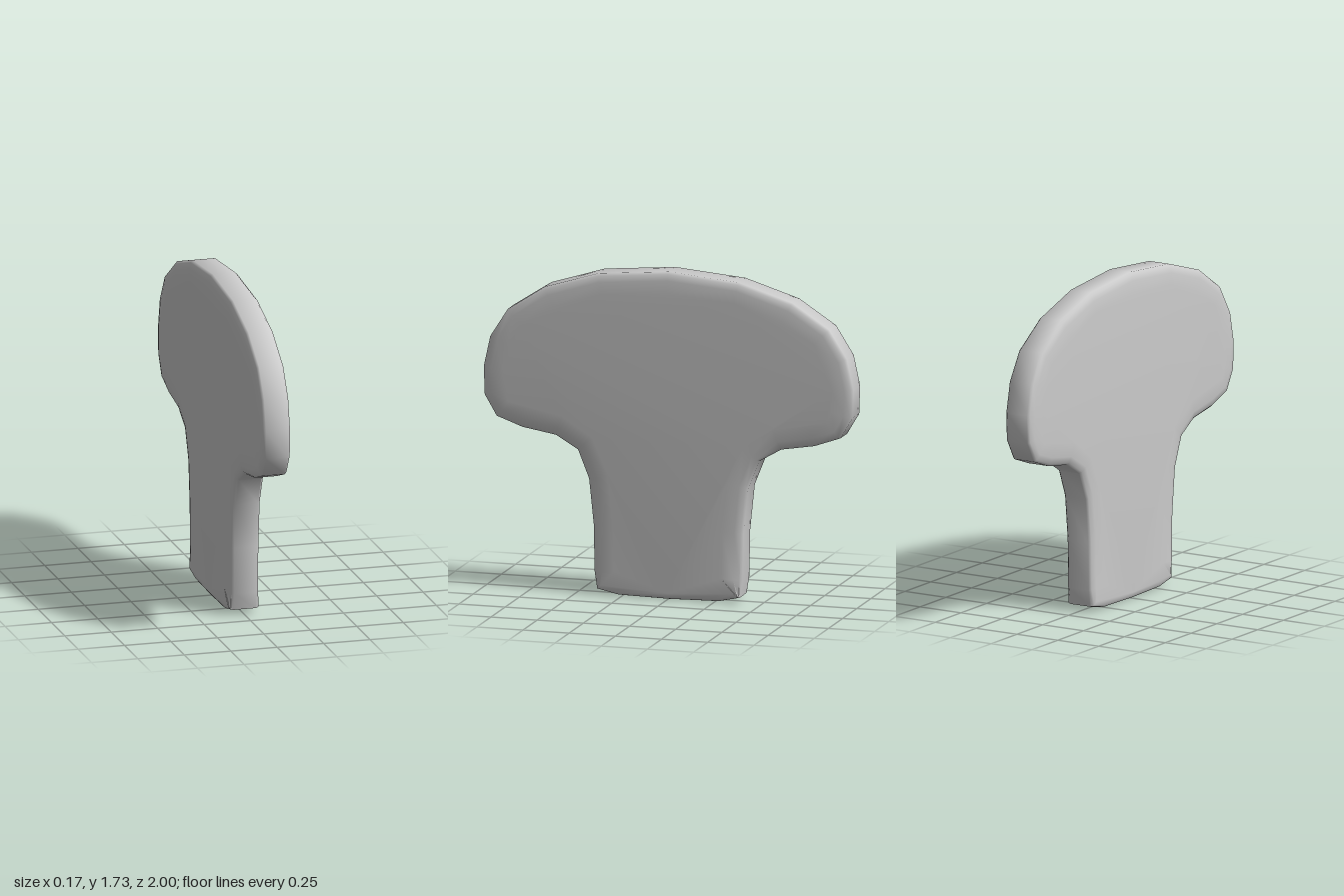
import * as THREE from 'three';
import { toCreasedNormals } from 'three/addons/utils/BufferGeometryUtils.js';

// Half outline, bottom centre to top centre
const HALF = [
  [0, 0], [0.27, 0.005], [0.385, 0.03], [0.4, 0.12], [0.405, 0.37], [0.43, 0.61],
  [0.49, 0.76], [0.61, 0.83], [0.79, 0.86], [0.93, 0.91], [0.995, 1.02], [1, 1.17],
  [0.965, 1.33], [0.87, 1.48], [0.67, 1.61], [0.38, 1.7], [0, 1.733],
].map(([u, y]) => new THREE.Vector2(u, y));

// Rounded edge: [half thickness, inset from the outline]
const EDGE = [[0.06, 0], [0.072, 0.012], [0.079, 0.045], [0.083, 0.11]];

// Outline moved inwards, only slightly along the crisp foot
function insetOutline(outline, inset) {
  const n = outline.length;
  return outline.map((p, i) => {
    const a = p.clone().sub(outline[(i + n - 1) % n]).normalize();
    const b = outline[(i + 1) % n].clone().sub(p).normalize();
    const t = a.add(b).normalize();
    const d = inset * (p.y < 0.1 ? 0.3 : 1);
    return new THREE.Vector2(p.x - t.y * d, p.y + t.x * d);
  });
}

function slabGeometry() {
  const mirrored = HALF.slice(1, -1).reverse().map((p) => new THREE.Vector2(-p.x, p.y));
  const outline = [...HALF, ...mirrored];
  const n = outline.length;
  const levels = [...EDGE.map(([w, d]) => [-w, d]).reverse(), ...EDGE];
  const positions = [];
  const index = [];

  // Rings across the thickness, joined by quads
  levels.forEach(([w, d], k) => {
    insetOutline(outline, d).forEach((p) => positions.push(p.x, p.y, w));
    if (k === 0) return;
    for (let i = 0; i < n; i++) {
      const j = (i + 1) % n;
      const lo = (k - 1) * n;
      const hi = k * n;
      index.push(lo + i, lo + j, hi + j, lo + i, hi + j, hi + i);
    }
  });

  // Flat faces on both sides
  const top = (levels.length - 1) * n;
  const face = insetOutline(outline, EDGE[EDGE.length - 1][1]);
  for (const [a, b, c] of THREE.ShapeUtils.triangulateShape(face, [])) {
    index.push(top + a, top + b, top + c, c, b, a);
  }

  const geometry = new THREE.BufferGeometry();
  geometry.setAttribute('position', new THREE.Float32BufferAttribute(positions, 3));
  geometry.setIndex(index);
  geometry.rotateY(Math.PI / 2);
  return toCreasedNormals(geometry, 0.9);
}

export function createModel() {
  const group = new THREE.Group();
  group.name = 'mushroomPanel';
  const panel = new THREE.Mesh(slabGeometry(), new THREE.MeshStandardMaterial({ color: 0xcccccc }));
  panel.name = 'panel';
  group.add(panel);
  return group;
}
